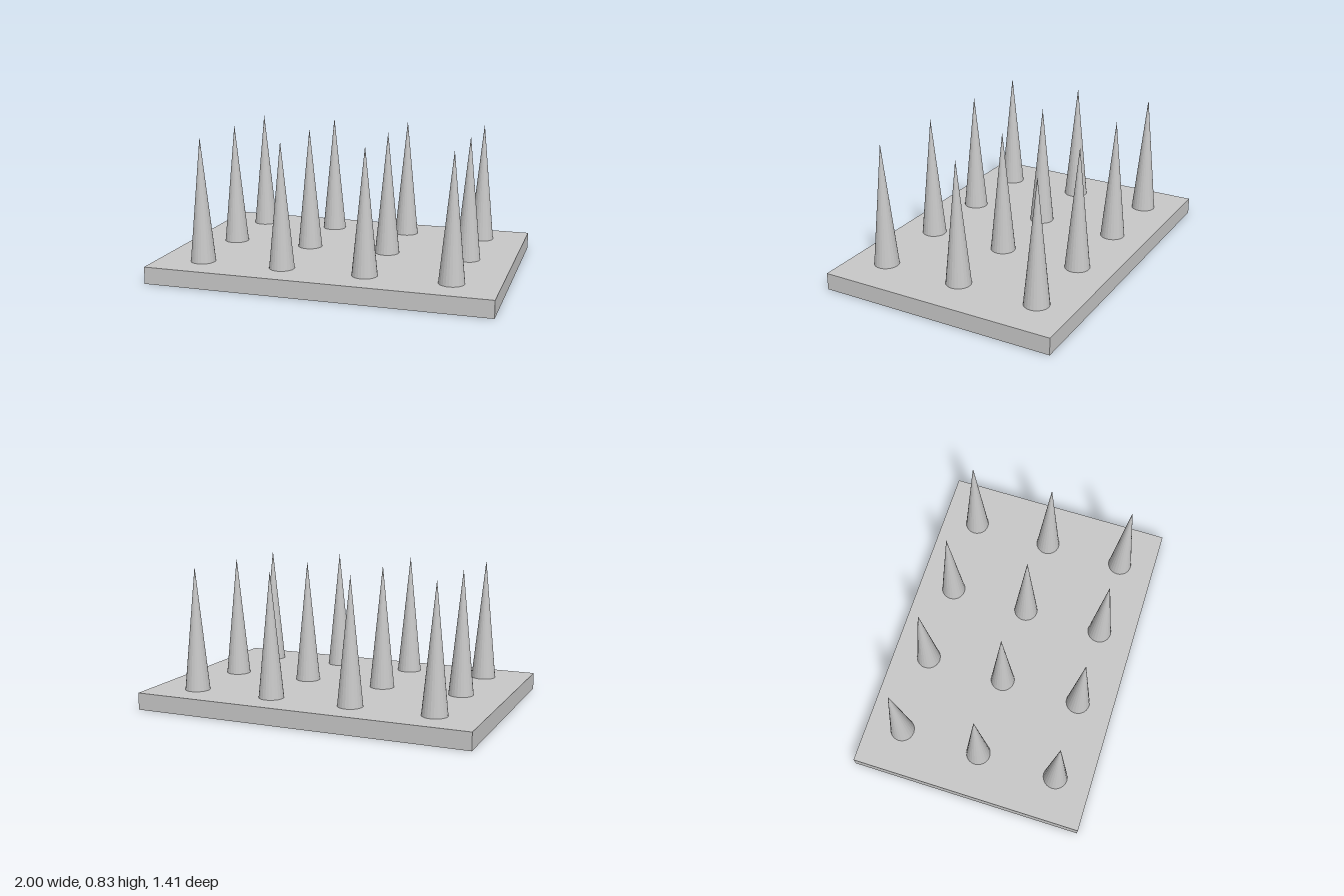
import * as THREE from 'three';

export function createModel() {
  const model = new THREE.Group();
  model.name = 'spikeBoard';
  const lightGrey = new THREE.MeshStandardMaterial({ color: 0xc8c8c8, flatShading: true });
  lightGrey.name = 'lightGrey';

  const baseHeight = 0.1, spikeHeight = 0.727, spikeRadius = 0.073, spacing = 0.488;

  // Flat base plate
  const base = new THREE.Mesh(new THREE.BoxGeometry(2, baseHeight, 1.414), lightGrey);
  base.name = 'basePlate';
  base.position.y = baseHeight / 2;
  model.add(base);

  // Grid of spikes: four columns by three rows
  const spikeGeometry = new THREE.ConeGeometry(spikeRadius, spikeHeight, 24, 1, true);
  const spikes = new THREE.Group();
  spikes.name = 'spikes';
  for (let row = 0; row < 3; row++) {
    for (let column = 0; column < 4; column++) {
      const spike = new THREE.Mesh(spikeGeometry, lightGrey);
      spike.name = `spikeRow${row + 1}Column${column + 1}`;
      spike.position.set((column - 1.5) * spacing, baseHeight + spikeHeight / 2, (row - 1) * spacing);
      spikes.add(spike);
    }
  }
  model.add(spikes);
  return model;
}
